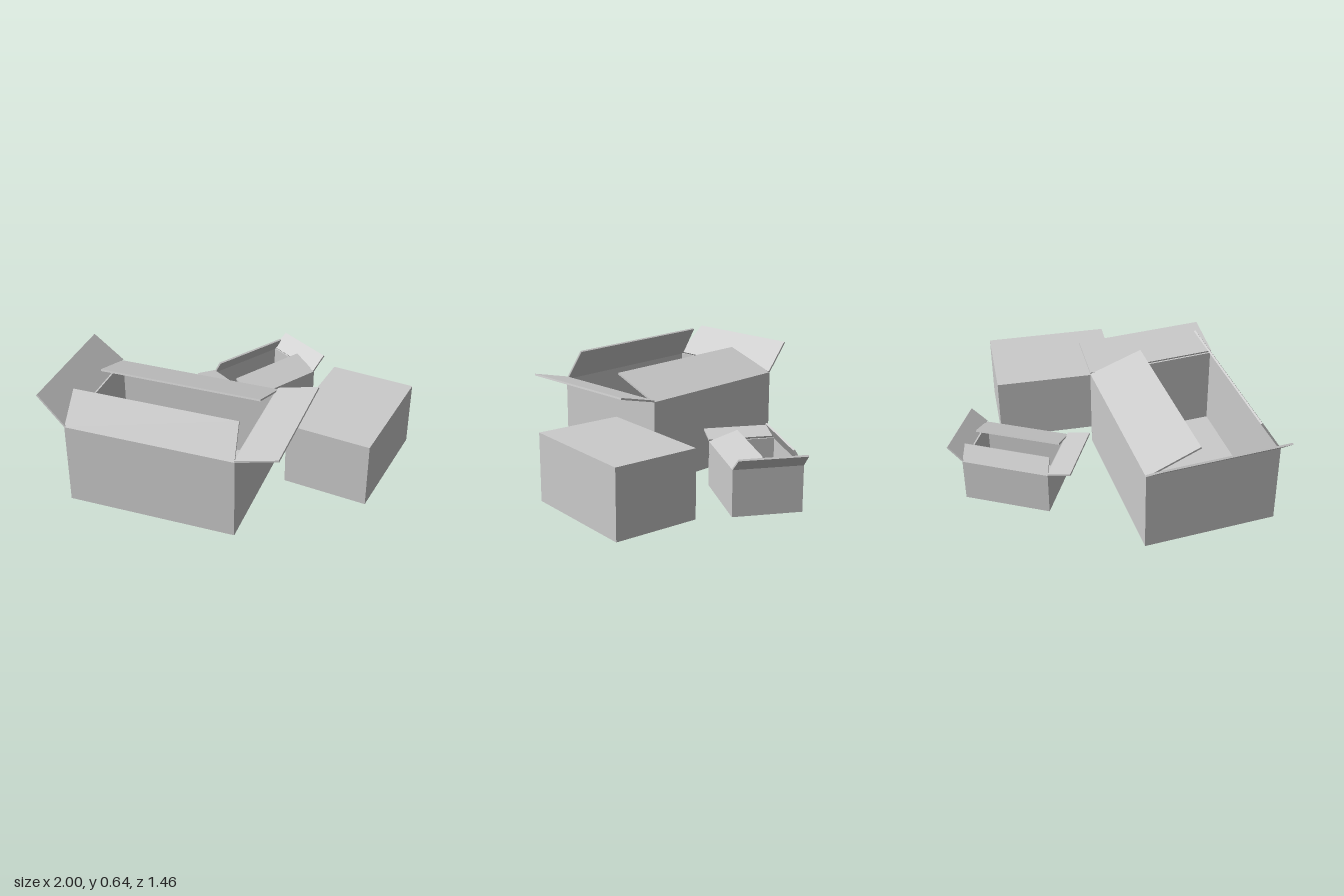
import * as THREE from 'three';

const material = new THREE.MeshStandardMaterial({ color: 0xcccccc, flatShading: true });
const T = 0.01; // cardboard thickness

// Thin slab: four corners counter-clockwise on the outer face, thickened behind it
function panel(name, a, b, c, d) {
  const n = b.clone().sub(a).cross(d.clone().sub(a)).normalize().multiplyScalar(-T);
  const o = [a, b, c, d];
  const i = o.map(p => p.clone().add(n));
  const quads = [o, [i[3], i[2], i[1], i[0]]];
  for (let k = 0; k < 4; k++) {
    const m = (k + 1) % 4;
    quads.push([o[m], o[k], i[k], i[m]]);
  }
  const points = quads.flatMap(([p, q, r, s]) => [p, q, r, p, r, s]);
  const geometry = new THREE.BufferGeometry().setFromPoints(points);
  geometry.computeVertexNormals();
  const mesh = new THREE.Mesh(geometry, material);
  mesh.name = name;
  return mesh;
}

// Open carton: footprint corners [x, z] run front, right, back, left.
// Each flap: reach outward from its hinge (negative leans inward), rise, and inset of its ends.
function openBox(name, corners, height, flaps) {
  const group = new THREE.Group();
  group.name = name;
  const low = corners.map(([x, z]) => new THREE.Vector3(x, 0, z));
  const high = corners.map(([x, z]) => new THREE.Vector3(x, height, z));
  group.add(panel('floor', low[3], low[2], low[1], low[0]));
  ['front', 'right', 'back', 'left'].forEach((side, k) => {
    const m = (k + 1) % 4;
    group.add(panel(side + 'Wall', low[k], low[m], high[m], high[k]));

    const { reach, rise, inset } = flaps[k];
    const along = high[m].clone().sub(high[k]).normalize();
    const offset = new THREE.Vector3(-along.z * reach, rise, along.x * reach);
    const start = high[k].clone().add(offset).addScaledVector(along, inset);
    const end = high[m].clone().add(offset).addScaledVector(along, -inset);
    group.add(panel(side + 'Flap', high[k], high[m], end, start));
  });
  return group;
}

export function createModel() {
  const model = new THREE.Group();
  model.name = 'cardboardBoxes';

  // Large open carton
  model.add(openBox('largeOpenBox',
    [[-0.31, 0.56], [0.24, 0.09], [-0.37, -0.62], [-0.92, -0.15]], 0.465, [
      { reach: 0.23, rise: 0.057, inset: 0.004 },
      { reach: -0.29, rise: 0.107, inset: 0.01 },
      { reach: 0.16, rise: 0.148, inset: 0.022 },
      { reach: -0.11, rise: 0.175, inset: 0.014 },
    ]));

  // Small open carton
  model.add(openBox('smallOpenBox',
    [[0.25, -0.2], [0.72, -0.267], [0.67, -0.63], [0.2, -0.565]], 0.247, [
      { reach: -0.155, rise: 0.055, inset: 0.002 },
      { reach: 0.085, rise: 0.073, inset: 0.006 },
      { reach: -0.05, rise: 0.085, inset: 0.002 },
      { reach: 0.125, rise: 0.025, inset: 0.002 },
    ]));

  // Closed carton
  const closed = new THREE.Mesh(new THREE.BoxGeometry(0.68, 0.37, 0.475), material);
  closed.name = 'closedBox';
  closed.position.set(0.583, 0.185, 0.3);
  closed.rotation.y = Math.atan2(0.375, 0.57);
  model.add(closed);

  return model;
}
